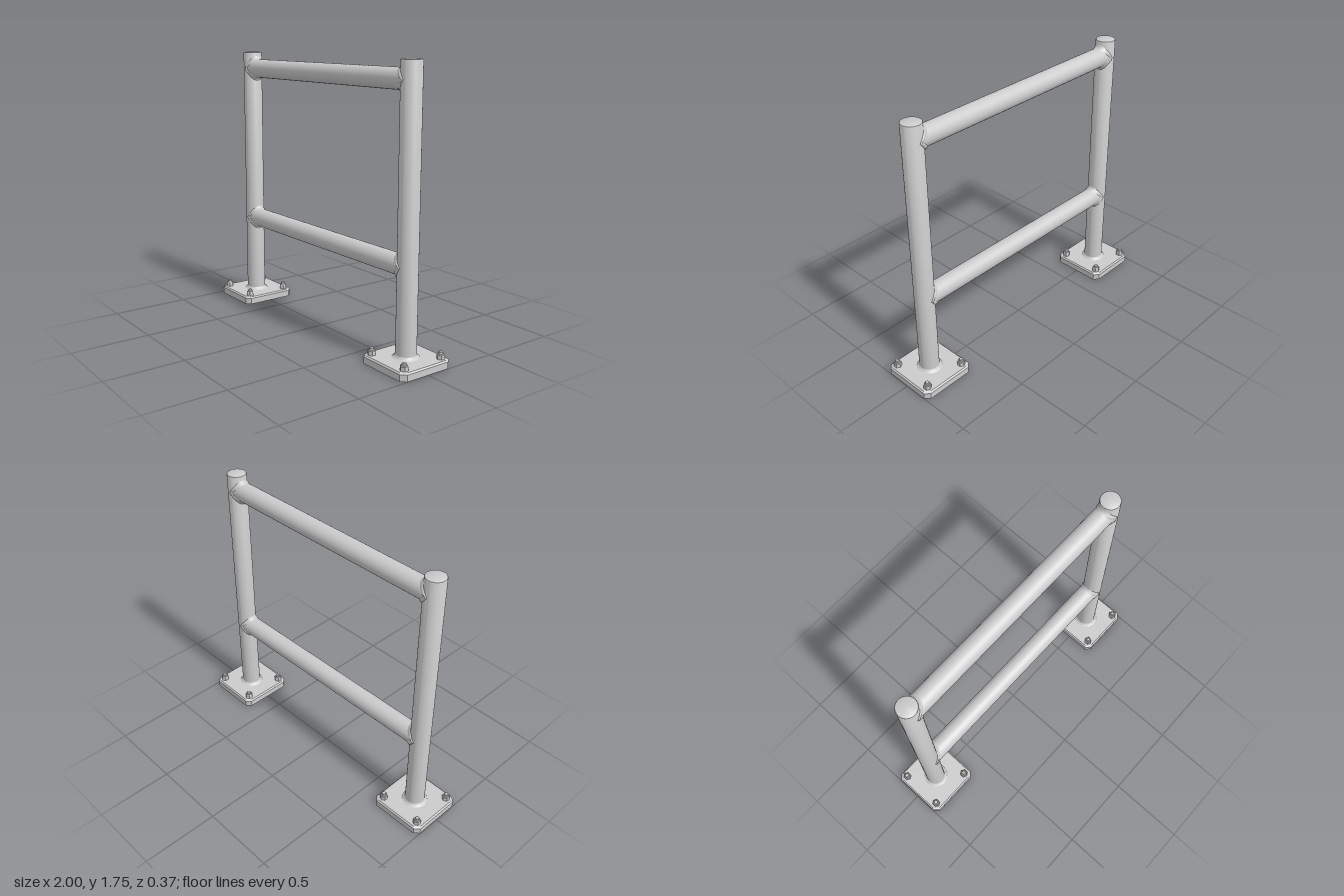
import * as THREE from 'three';
import { toCreasedNormals } from 'three/addons/utils/BufferGeometryUtils.js';

const R = 0.0625;          // pipe radius
const POST_X = 0.8125;
const PLATE_TOP = 0.05;
const POST_TOP = 1.745;
const RAIL_HEIGHTS = [1.635, 0.585];

const smooth = new THREE.MeshStandardMaterial({ color: 0xcccccc, side: THREE.DoubleSide });
const flat = new THREE.MeshStandardMaterial({ color: 0xcccccc, side: THREE.DoubleSide, flatShading: true });

function add(parent, name, geometry, material, x = 0, y = 0, z = 0) {
  const mesh = new THREE.Mesh(geometry, material);
  mesh.name = name;
  mesh.position.set(x, y, z);
  parent.add(mesh);
  return mesh;
}

function lathe(profile, segments = 48) {
  const points = profile.map(([x, y]) => new THREE.Vector2(x, y));
  return toCreasedNormals(new THREE.LatheGeometry(points, segments), 0.5);
}

// Square outline with cut corners
function outline(half, cut) {
  const h = half, k = half - cut;
  return [[h, -k], [h, k], [k, h], [-k, h], [-h, k], [-h, -k], [-k, -h], [k, -h]]
    .map(([x, y]) => new THREE.Vector2(x, y));
}

// Rows of points joined into a surface
function loft(rows) {
  const positions = rows.flat().flatMap((p) => [p.x, p.y, p.z]);
  const n = rows[0].length, index = [];
  for (let r = 0; r < rows.length - 1; r++) {
    for (let i = 0; i < n; i++) {
      const a = r * n + i, b = r * n + (i + 1) % n;
      index.push(a, b, b + n, a, b + n, a + n);
    }
  }
  const geometry = new THREE.BufferGeometry();
  geometry.setAttribute('position', new THREE.Float32BufferAttribute(positions, 3));
  geometry.setIndex(index);
  geometry.computeVertexNormals();
  return geometry;
}

// Plate walls: open below, with a bevelled top edge
function plateWalls() {
  const ring = (half, y) => outline(half, 0.03).map((p) => new THREE.Vector3(p.x, y, -p.y));
  return loft([ring(0.186, 0), ring(0.186, 0.041), ring(0.177, PLATE_TOP)]);
}

// Plate top with the hole for the post
function plateTop() {
  const shape = new THREE.Shape(outline(0.177, 0.03));
  shape.holes.push(new THREE.Path().absarc(0, 0, R, 0, Math.PI * 2, true));
  return new THREE.ShapeGeometry(shape, 24).rotateX(-Math.PI / 2);
}

// Weld bead along the saddle curve where a rail meets a post, facing +x
function saddleWeld() {
  const n = 64, rows = [[], [], [], []];
  for (let i = 0; i < n; i++) {
    const a = (i / n) * Math.PI * 2, c = Math.cos(a), s = Math.sin(a), x = R * Math.abs(c);
    rows[0].push(new THREE.Vector3(x, 0.084 * c, R * s));
    rows[1].push(new THREE.Vector3(x + 0.004, (R + 0.011) * c, (R + 0.007) * s));
    rows[2].push(new THREE.Vector3(x + 0.011, (R + 0.005) * c, (R + 0.006) * s));
    rows[3].push(new THREE.Vector3(x + 0.022, R * c, R * s));
  }
  return loft(rows);
}

// Anchor bolt: hex nut with a chamfered stud
function anchorBolt(x, z) {
  const bolt = new THREE.Group();
  bolt.name = 'anchorBolt';
  bolt.position.set(x, PLATE_TOP, z);
  add(bolt, 'nut', new THREE.CylinderGeometry(0.025, 0.025, 0.026, 6), flat, 0, 0.013, 0);
  add(bolt, 'nutChamfer', new THREE.CylinderGeometry(0.021, 0.025, 0.005, 6), flat, 0, 0.0285, 0);
  add(bolt, 'stud', lathe([[0.014, 0], [0.014, 0.042], [0.011, 0.045], [0, 0.045]], 16), smooth);
  return bolt;
}

// Post, base plate, bolts and welds
function postAssembly(side) {
  const post = new THREE.Group();
  post.name = side > 0 ? 'leftPost' : 'rightPost';
  post.position.x = side * POST_X;

  add(post, 'postTube', lathe([
    [R, PLATE_TOP], [R, POST_TOP - 0.006], [R - 0.002, POST_TOP - 0.002],
    [R - 0.006, POST_TOP], [0, POST_TOP],
  ]), smooth);
  add(post, 'baseWeld', lathe([
    [0.08, PLATE_TOP], [0.073, 0.054], [0.067, 0.06], [R, 0.068],
  ]), smooth);

  add(post, 'basePlateWalls', plateWalls(), flat);
  add(post, 'basePlateTop', plateTop(), flat, 0, PLATE_TOP, 0);
  for (const x of [-0.14, 0.14]) {
    for (const z of [-0.14, 0.14]) post.add(anchorBolt(x, z));
  }

  for (const y of RAIL_HEIGHTS) {
    const weld = add(post, 'railWeld', saddleWeld(), smooth, 0, y, 0);
    if (side > 0) weld.rotation.y = Math.PI;
  }
  return post;
}

export function createModel() {
  const model = new THREE.Group();
  model.name = 'guardRail';
  for (const side of [1, -1]) model.add(postAssembly(side));

  // Rails run between the post axes
  RAIL_HEIGHTS.forEach((y, i) => {
    const rail = new THREE.CylinderGeometry(R, R, POST_X * 2, 48, 1, true).rotateZ(Math.PI / 2);
    add(model, i === 0 ? 'topRail' : 'lowerRail', rail, smooth, 0, y, 0);
  });
  return model;
}
